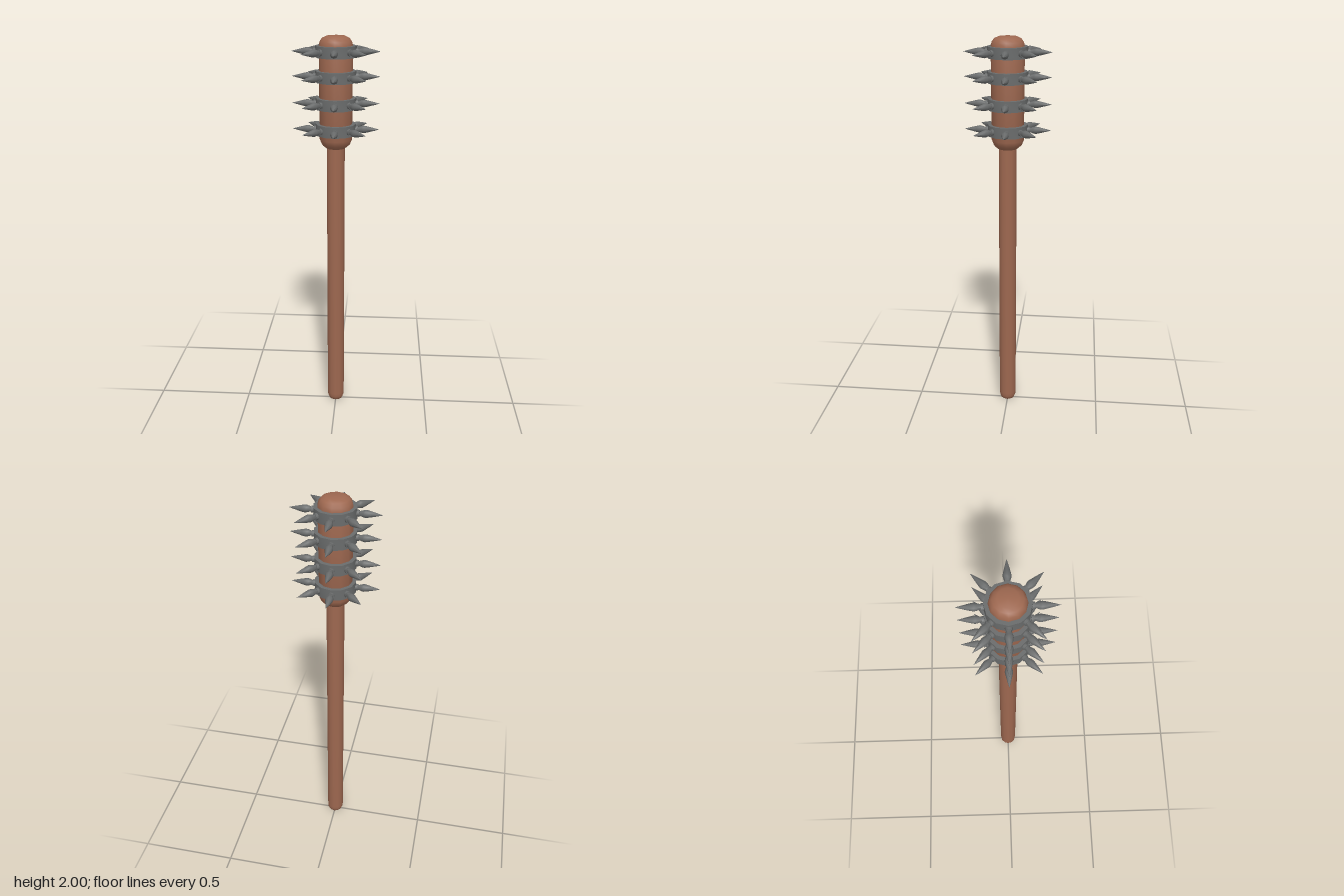
import * as THREE from 'three';
import { toCreasedNormals } from 'three/addons/utils/BufferGeometryUtils.js';

const wood = new THREE.MeshStandardMaterial({ color: 0x9e6850 });
const iron = new THREE.MeshStandardMaterial({ color: 0x6a6c6c });

// Turned part from [radius, height] pairs
function turned(name, profile, sides, material, crease) {
  const points = profile.map(([r, y]) => new THREE.Vector2(r, y));
  const geometry = toCreasedNormals(new THREE.LatheGeometry(points, sides), crease);
  const mesh = new THREE.Mesh(geometry, material);
  mesh.name = name;
  return mesh;
}

// Spike with its collar, pointing along +y from the shaft axis
function makeSpike() {
  const spike = new THREE.Group();
  spike.name = 'spike';
  spike.add(
    turned('spikeCollar', [[0, 0.085], [0.016, 0.085], [0.016, 0.109], [0, 0.109]], 8, iron, 0.9),
    turned('spikePoint', [
      [0.012, 0.105], [0.012, 0.113], [0.017, 0.128], [0.019, 0.138],
      [0.016, 0.153], [0.008, 0.186], [0, 0.215],
    ], 8, iron, 0.9),
  );
  return spike;
}

export function createModel() {
  const club = new THREE.Group();
  club.name = 'spikedClub';

  // Long handle with a rounded butt
  club.add(turned('handle', [
    [0, 0], [0.026, 0], [0.037, 0.008], [0.044, 0.026], [0.045, 0.045], [0.045, 1.48],
  ], 12, wood, 0.7));

  // Thick head, rounded at both ends
  club.add(turned('head', [
    [0, 1.458], [0.05, 1.458], [0.07, 1.475], [0.081, 1.502],
    [0.082, 1.955], [0.077, 1.975], [0.065, 1.991], [0.045, 2], [0, 2],
  ], 12, wood, 0.7));

  // Four iron bands, each with eight spikes
  for (const y of [1.552, 1.68, 1.81, 1.928]) {
    const ring = new THREE.Group();
    ring.name = 'spikedBand';
    ring.position.y = y;
    const h = 0.027;
    ring.add(turned('band', [
      [0.078, -h], [0.1, -h], [0.1, h], [0.078, h], [0.078, -h],
    ], 12, iron, 0.7));
    for (let i = 0; i < 8; i++) {
      const arm = new THREE.Group();
      arm.name = 'spikeArm';
      arm.rotation.y = (i * Math.PI) / 4;
      const spike = makeSpike();
      spike.rotation.x = Math.PI / 2;
      arm.add(spike);
      ring.add(arm);
    }
    club.add(ring);
  }
  return club;
}
